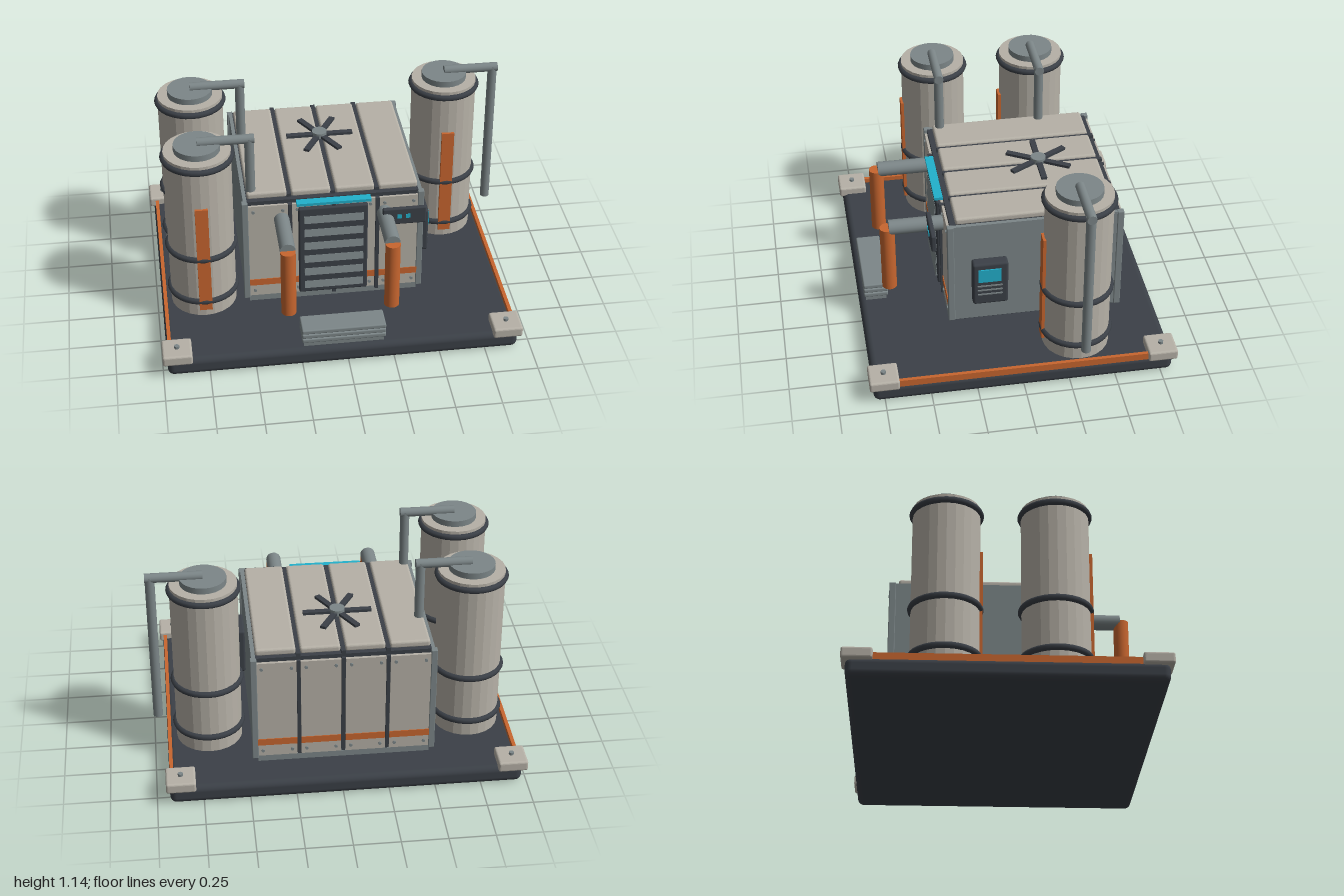
import * as THREE from 'three';
import { RoundedBoxGeometry } from 'three/addons/geometries/RoundedBoxGeometry.js';

const material = (name, color, flatShading = false) => {
  const m = new THREE.MeshStandardMaterial({ color, flatShading });
  m.name = name;
  return m;
};

export function createModel() {
  const cream = material('cream panel', 0xb6b1a7, true);
  const steel = material('grey steel', 0x7c8688);
  const dark = material('dark frame', 0x3b4047);
  const orange = material('orange accent', 0xc8662f);
  const cyan = material('cyan light', 0x22b0cc);

  const model = new THREE.Group();
  model.name = 'processingStation';

  const add = (parent, name, geometry, mat, x = 0, y = 0, z = 0) => {
    const mesh = new THREE.Mesh(geometry, mat);
    mesh.name = name;
    mesh.position.set(x, y, z);
    parent.add(mesh);
    return mesh;
  };
  // Boxes are given by their limits along each axis; r rounds the edges
  const box = (parent, name, mat, [x0, x1], [y0, y1], [z0, z1], r = 0) => {
    const s = [x1 - x0, y1 - y0, z1 - z0];
    const g = r ? new RoundedBoxGeometry(...s, 3, r) : new THREE.BoxGeometry(...s);
    return add(parent, name, g, mat, (x0 + x1) / 2, (y0 + y1) / 2, (z0 + z1) / 2);
  };
  // Cylinder between two points
  const rod = (parent, name, mat, a, b, r, sides = 16) => {
    const p = new THREE.Vector3(...a), q = new THREE.Vector3(...b);
    const d = q.clone().sub(p);
    const mesh = add(parent, name, new THREE.CylinderGeometry(r, r, d.length(), sides), mat);
    mesh.position.copy(p).add(q).multiplyScalar(0.5);
    mesh.quaternion.setFromUnitVectors(new THREE.Vector3(0, 1, 0), d.normalize());
    return mesh;
  };
  const group = (name) => {
    const g = new THREE.Group();
    g.name = name;
    model.add(g);
    return g;
  };

  // Base slab with corner pads, bolts and side rails
  const base = group('base');
  box(base, 'slab', dark, [-0.975, 0.93], [0, 0.105], [-0.815, 0.81], 0.035);
  for (const x of [-0.92, 0.87]) {
    for (const z of [-0.757, 0.75]) {
      box(base, 'cornerPad', cream, [x - 0.08, x + 0.08], [0.087, 0.147], [z - 0.08, z + 0.08], 0.012);
      rod(base, 'padBolt', steel, [x, 0.14, z], [x, 0.162, z], 0.014, 8);
    }
  }
  for (const x of [-0.957, 0.917])
    box(base, 'sideRail', orange, [x - 0.01, x + 0.01], [0.09, 0.13], [-0.68, 0.67]);

  // Storage tanks with hoops, gauge strip and overflow pipe
  for (const [x, z] of [[-0.74, -0.32], [-0.74, 0.255], [0.695, -0.32]]) {
    const tank = group('tank');
    tank.position.set(x, 0, z);
    rod(tank, 'tankBody', cream, [0, 0.1, 0], [0, 1.075, 0], 0.181, 24);
    rod(tank, 'tankCap', steel, [0, 1.07, 0], [0, 1.11, 0], 0.125, 24);
    for (const y of [0.2, 0.48, 1.04]) {
      const hoop = add(tank, 'hoop', new THREE.TorusGeometry(0.181, 0.018, 8, 32), dark, 0, y, 0);
      hoop.rotation.x = Math.PI / 2;
    }
    box(tank, 'gaugeStrip', orange, [-0.035, 0.035], [0.15, 0.812], [0.17, 0.193]);
    rod(tank, 'pipeAcross', steel, [0, 1.117, 0], [0.305, 1.117, 0], 0.026);
    rod(tank, 'pipeDown', steel, [0.278, 1.125, 0], [0.278, 0.245, 0], 0.026);
  }

  // Main housing: dark core between steel side plates and posts
  const housing = group('housing');
  box(housing, 'core', dark, [-0.49, 0.445], [0.1, 0.758], [-0.6, 0.325]);
  for (const [x0, x1, out] of [[-0.51, -0.485, -0.52], [0.44, 0.467, 0.475]]) {
    box(housing, 'sidePlate', steel, [x0, x1], [0.125, 0.755], [-0.6, 0.325]);
    const span = out < 0 ? [out, out + 0.034] : [out - 0.034, out];
    for (const z of [-0.603, 0.325])
      box(housing, 'cornerPost', steel, span, [0.125, 0.757], [z - 0.018, z + 0.018], 0.004);
  }
  for (const z of [-0.605, 0.327])
    box(housing, 'footRail', steel, [-0.49, 0.445], [0.105, 0.14], [z - 0.012, z + 0.012]);

  // Four panel bays repeated on roof, front and back
  const bays = [[-0.487, -0.27], [-0.247, -0.032], [-0.007, 0.208], [0.23, 0.445]];
  for (const [x0, x1] of bays) {
    box(housing, 'roofPanel', cream, [x0, x1], [0.75, 0.792], [-0.572, 0.295], 0.014);
    for (const [z, side] of [[-0.607, -1], [0.329, 1]]) {
      box(housing, 'wallPanel', cream, [x0, x1], [0.14, 0.735], [z - 0.01, z + 0.01]);
      const face = z + side * 0.01;
      box(housing, 'panelStripe', orange, [x0, x1], [0.21, 0.25], [face - 0.004, face + 0.004]);
      for (const x of [x0 + 0.028, x1 - 0.028])
        for (const y of [0.175, 0.7])
          rod(housing, 'panelBolt', steel, [x, y, face], [x, y, face + side * 0.008], 0.009, 8);
    }
  }
  for (const x of [-0.259, -0.02, 0.219]) {
    box(housing, 'roofRib', dark, [x - 0.012, x + 0.012], [0.74, 0.777], [-0.6, 0.3]);
    box(housing, 'frontRib', dark, [x - 0.01, x + 0.01], [0.13, 0.74], [0.31, 0.352]);
    box(housing, 'backRib', dark, [x - 0.01, x + 0.01], [0.13, 0.74], [-0.615, -0.59]);
  }

  // Louvred intake door with light bar
  const door = group('intakeDoor');
  box(door, 'doorFrame', dark, [-0.215, 0.165], [0.15, 0.712], [0.33, 0.362], 0.01);
  for (let i = 0; i < 6; i++) {
    const slat = box(door, 'slat', steel, [-0.185, 0.14], [0, 0.044], [0.354, 0.368]);
    slat.position.y = 0.205 + i * 0.087;
    slat.rotation.x = -0.2;
  }
  box(door, 'lightBar', cyan, [-0.225, 0.18], [0.737, 0.753], [0.32, 0.372]);

  // Six-bladed roof fan
  const fan = group('roofFan');
  fan.position.set(-0.025, 0.792, -0.24);
  for (let i = 0; i < 6; i++) {
    const arm = new THREE.Group();
    arm.name = 'bladeArm';
    arm.rotation.y = (i * Math.PI) / 3;
    fan.add(arm);
    box(arm, 'blade', dark, [0.02, 0.187], [0.002, 0.017], [-0.016, 0.016]);
  }
  rod(fan, 'hub', steel, [0, 0, 0], [0, 0.031, 0], 0.042, 20);

  // Front outlet pipes
  for (const x of [-0.305, 0.255]) {
    const outlet = group('outletPipe');
    rod(outlet, 'outletArm', steel, [x, 0.642, 0.32], [x, 0.642, 0.635], 0.042, 20);
    rod(outlet, 'outletDrop', orange, [x, 0.642, 0.643], [x, 0.245, 0.643], 0.041, 20);
  }

  // Stacked front step
  const step = group('frontStep');
  box(step, 'stepCore', steel, [-0.24, 0.195], [0.1, 0.21], [0.66, 0.775]);
  for (let i = 0; i < 3; i++) {
    const y = 0.13 + i * 0.029;
    box(step, 'stepPlate', steel, [-0.25, 0.205], [y, y + 0.027], [0.65, 0.785], 0.008);
  }

  // Front status panel
  const status = group('statusPanel');
  box(status, 'statusCase', dark, [0.235, 0.472], [0.61, 0.712], [0.402, 0.428], 0.008);
  for (const x of [0.325, 0.372])
    box(status, 'statusLight', cyan, [x - 0.012, x + 0.012], [0.652, 0.676], [0.425, 0.432]);

  // Side control box with screen and vent lines
  const control = group('controlBox');
  box(control, 'controlCase', dark, [0.465, 0.531], [0.265, 0.537], [0.02, 0.215], 0.014);
  box(control, 'screen', cyan, [0.529, 0.538], [0.42, 0.502], [0.06, 0.186]);
  for (const y of [0.335, 0.363, 0.391])
    box(control, 'ventLine', steel, [0.529, 0.535], [y - 0.004, y + 0.004], [0.053, 0.19]);

  return model;
}
